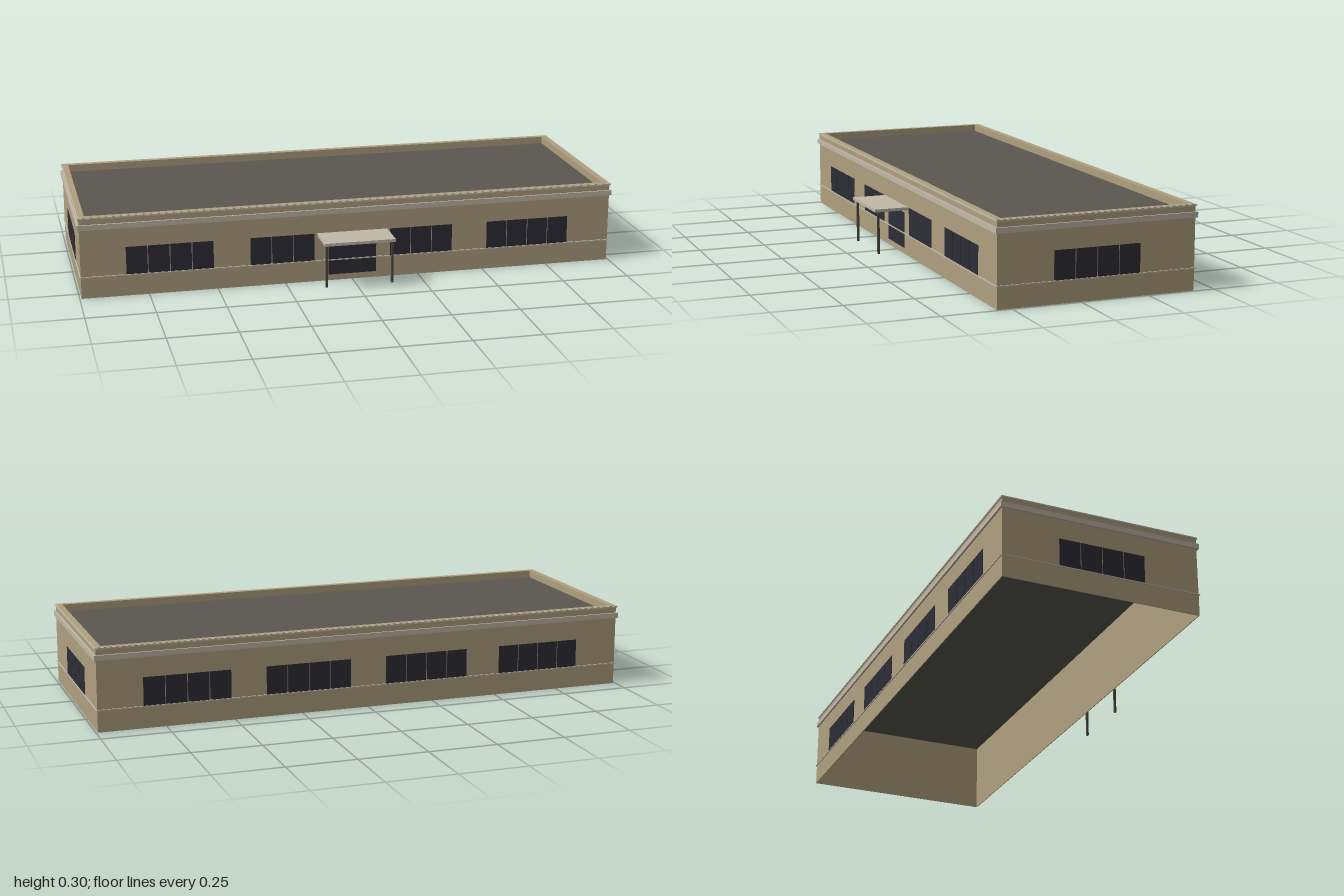
import * as THREE from 'three';

const mat = (name, color, side = THREE.FrontSide) => {
  const m = new THREE.MeshStandardMaterial({ color, side });
  m.name = name;
  return m;
};

export function createModel() {
  const wall = mat('tan wall', 0xb0a080, THREE.DoubleSide);
  const trim = mat('pale trim', 0xc2baaa);
  const roofing = mat('dark roofing', 0x5a584f);
  const glass = mat('dark glass', 0x2d2d36);
  const metal = mat('dark metal', 0x4a483f);

  const model = new THREE.Group();
  model.name = 'building';
  const W = 0.993, front = 0.302, back = -0.424; // wall faces
  const midZ = (front + back) / 2, D = (front - back) / 2;

  const add = (name, geometry, material, x, y, z, parent = model) => {
    const mesh = new THREE.Mesh(geometry, material);
    mesh.name = name;
    mesh.position.set(x, y, z);
    parent.add(mesh);
    return mesh;
  };
  const box = (name, w, h, d, material, x, y, z, parent) =>
    add(name, new THREE.BoxGeometry(w, h, d), material, x, y, z, parent);

  // Rectangular ring; out and inner are offsets from the wall face
  const rect = (Type, o) => new Type([
    new THREE.Vector2(-W - o, -D - o), new THREE.Vector2(W + o, -D - o),
    new THREE.Vector2(W + o, D + o), new THREE.Vector2(-W - o, D + o),
  ]);
  const ring = (name, out, inner, y0, y1, material) => {
    const shape = rect(THREE.Shape, out);
    shape.holes.push(rect(THREE.Path, inner));
    const geometry = new THREE.ExtrudeGeometry(shape, { depth: y1 - y0, bevelEnabled: false });
    geometry.rotateX(-Math.PI / 2);
    add(name, geometry, material, 0, y0, midZ);
  };

  // Hollow shell, parapet and horizontal trim
  ring('walls', 0, -0.003, 0, 0.301, wall);
  ring('parapet', -0.003, -0.022, 0.274, 0.301, wall);
  ring('coping', 0.004, 0, 0.295, 0.3005, trim);
  ring('corniceBand', 0.007, 0, 0.256, 0.275, trim);
  ring('sillStrip', 0.004, 0, 0.077, 0.081, trim);
  box('roof', 2 * W - 0.006, 0.004, 2 * D - 0.006, roofing, 0, 0.272, midZ);

  // Window strips made of separate panes, with wall showing between them
  const windowStrip = (name, panes, x, z, turn) => {
    const group = new THREE.Group();
    group.name = name;
    group.position.set(x, 0.132, z);
    group.rotation.y = turn;
    const pitch = 0.0797;
    for (let i = 0; i < panes; i++) {
      box('pane', pitch - 0.003, 0.103, 0.003, glass, (i - (panes - 1) / 2) * pitch, 0, 0, group);
    }
    model.add(group);
  };
  for (const s of [-1, 1]) {
    windowStrip('frontOuterWindow', 4, s * 0.672, front, 0);
    windowStrip('frontInnerWindow', 3, s * 0.261, front, 0);
    windowStrip('backOuterWindow', 4, s * 0.672, back, Math.PI);
    windowStrip('backInnerWindow', 4, s * 0.226, back, Math.PI);
    windowStrip('sideWindow', 4, s * W, -0.06, s * Math.PI / 2);
  }

  // Entrance door, canopy and posts
  box('door', 0.18, 0.135, 0.003, glass, 0, 0.09, front);
  box('canopy', 0.262, 0.011, 0.128, trim, 0, 0.179, front + 0.064);
  for (const s of [-1, 1]) {
    box('canopyPost', 0.008, 0.158, 0.008, metal, s * 0.122, 0.0945, 0.415);
  }

  return model;
}
